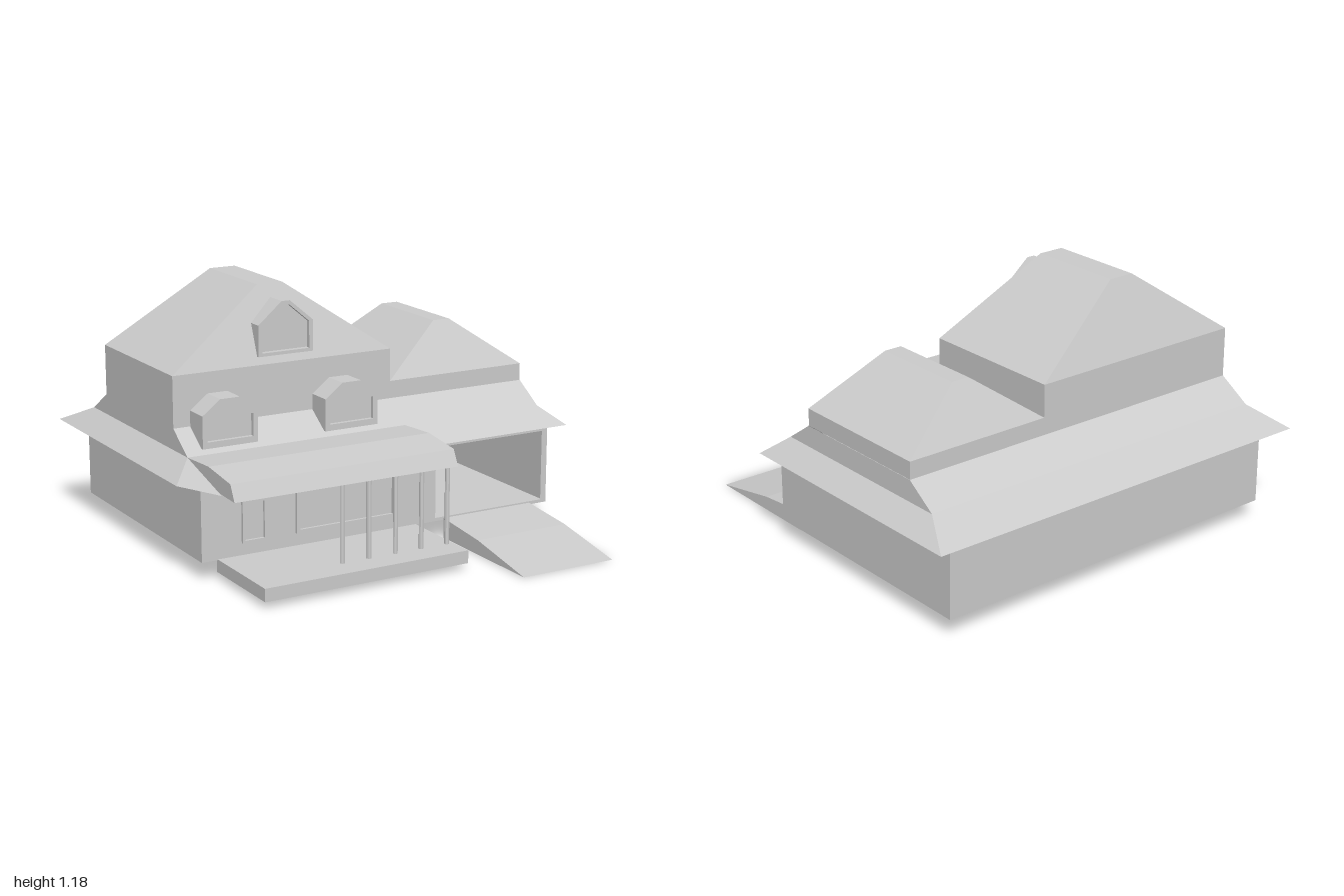
import * as THREE from 'three';

const mat = new THREE.MeshStandardMaterial({ color: 0xcccccc, flatShading: true, side: THREE.DoubleSide });

export function createModel() {
  const house = new THREE.Group();
  house.name = 'house';

  const add = (name, geo, parent = house) => {
    const mesh = new THREE.Mesh(geo, mat);
    mesh.name = name;
    parent.add(mesh);
    return mesh;
  };

  // Thin shell from flat polygons, each a list of [x, y, z] corners
  const shell = (name, polys) => {
    const pos = [];
    for (const p of polys)
      for (let i = 1; i < p.length - 1; i++) pos.push(...p[0], ...p[i], ...p[i + 1]);
    const geo = new THREE.BufferGeometry();
    geo.setAttribute('position', new THREE.Float32BufferAttribute(pos, 3));
    geo.computeVertexNormals();
    return add(name, geo);
  };

  // Rectangular loop at one height, and the faces joining two loops
  const ring = (x0, x1, z0, z1, y) => [[x0, y, z1], [x1, y, z1], [x1, y, z0], [x0, y, z0]];
  const join = (a, b) => a.map((p, i) => [p, a[(i + 1) % 4], b[(i + 1) % 4], b[i]]);

  const shapeOf = (pts) => new THREE.Shape(pts.map(([x, y]) => new THREE.Vector2(x, y)));
  const rect = (x0, x1, y0, y1) => [[x0, y0], [x1, y0], [x1, y1], [x0, y1]];
  const extrude = (pts, z0, z1, hole) => {
    const s = shapeOf(pts);
    if (hole) s.holes.push(shapeOf(hole));
    return new THREE.ExtrudeGeometry(s, { depth: z1 - z0, bevelEnabled: false }).translate(0, 0, z0);
  };
  // Profile of [z, y] points extruded along x
  const extrudeX = (pts, x0, x1) =>
    new THREE.ExtrudeGeometry(shapeOf(pts), { depth: x1 - x0, bevelEnabled: false })
      .rotateY(-Math.PI / 2).translate(x1, 0, 0);

  // Ground floor walls, open underneath, with the garage opening in front
  const W = 0.89, FRONT = 0.32, BACK = -0.88, Y0 = 0.085, EAVE = 0.44;
  const low = ring(-W, W, BACK, FRONT, Y0), top = ring(-W, W, BACK, FRONT, EAVE);
  shell('walls', join(low, top).slice(1));
  const front = shapeOf(rect(-W, W, Y0, EAVE));
  front.holes.push(shapeOf(rect(0.28, 0.86, 0.1, 0.43)));
  add('frontWall', new THREE.ShapeGeometry(front).translate(0, 0, FRONT));

  // Garage interior: floor, ceiling and slanted inner walls
  const plan = [[W, FRONT], [0.28, FRONT], [0.46, -0.36], [W, BACK]];
  const level = (y) => plan.map(([x, z]) => [x, y, z]);
  shell('garage', [level(Y0 + 0.003), level(0.43),
    ...join(level(Y0), level(0.43)).slice(1, 3)]);

  // Flared lower roof with flat soffit
  const eave = ring(-1, 1, -0.965, FRONT, EAVE);
  const upper = ring(-0.9, 0.9, -0.78, 0.22, 0.525);
  shell('lowerRoof', join(eave, upper));
  shell('soffit', join(eave, top).slice(1));
  shell('roofFlap', [[[-1, EAVE, FRONT], [-0.9, EAVE, 0.54], [-0.9, 0.525, 0.22]]]);

  // Steeper roof band and its gable ends
  const band = ring(-0.9, 0.895, -0.63, 0.085, 0.62);
  shell('roofBand', join(upper, band));

  // Upper storeys with hipped roofs
  const storey = (name, x0, x1, yTop, r0, r1, yRidge) => {
    const base = ring(x0, x1, -0.63, 0.085, 0.62);
    const eaves = ring(x0, x1, -0.63, 0.085, yTop);
    const ridge = ring(r0, r1, -0.505, -0.043, yRidge);
    shell(name + 'Walls', join(base, eaves));
    shell(name + 'Roof', [...join(eaves, ridge), ridge]);
  };
  storey('mainStorey', -0.9, 0.18, 0.85, -0.425, -0.3, 1.18);
  storey('sideStorey', 0.18, 0.893, 0.7, 0.49, 0.575, 0.925);

  // Dormers: solid body with a framed, recessed window
  const dormer = (name, outline, hole, zBack, zFront) => {
    const g = new THREE.Group();
    g.name = name;
    house.add(g);
    add('dormerBody', extrude(outline, zBack, zFront - 0.02), g);
    add('dormerFrame', extrude(outline, zFront - 0.02, zFront, hole), g);
  };
  for (const x of [-0.688, -0.09]) {
    const outline = [[-0.132, 0.545], [0.132, 0.545], [0.132, 0.69], [0.047, 0.755], [-0.047, 0.755], [-0.132, 0.69]];
    dormer('lowerDormer', outline.map(([a, y]) => [a + x, y]),
      rect(x - 0.11, x + 0.11, 0.573, 0.675), 0.03, 0.205);
  }
  const gable = [[-0.135, 0.885], [0.135, 0.885], [0.135, 1.025], [0.02, 1.122], [-0.02, 1.122], [-0.135, 1.025]];
  dormer('atticDormer', gable.map(([a, y]) => [a - 0.352, y]),
    gable.map(([a, y]) => [a * 0.86 - 0.352, 0.99 + (y - 0.99) * 0.86]), -0.03, 0.085);

  // Porch roof, slab and columns
  add('porchRoof', extrudeX([[0.22, 0.525], [0.42, 0.535], [0.62, 0.51], [0.655, 0.44],
    [0.42, 0.45], [0.32, 0.44]], -0.9, 0.178));
  add('porchFloor', extrudeX([[0.31, 0.03], [0.75, 0.03], [0.75, 0.088], [0.31, 0.088]], -0.815, 0.175));
  for (let i = 0; i < 5; i++)
    add('porchColumn', new THREE.CylinderGeometry(0.011, 0.011, 0.4, 8)
      .translate(-0.38 + i * 0.131, 0.255, 0.625));

  // Driveway ramp
  add('ramp', extrudeX([[0.32, 0], [0.955, 0], [0.6, 0.066], [0.32, 0.093]], 0.325, 0.797));

  // Ground floor windows with raised frames
  const frame = (name, x0, x1, y0, y1, t) =>
    add(name, extrude(rect(x0, x1, y0, y1), FRONT, FRONT + 0.013, rect(x0 + t, x1 - t, y0 + t, y1 - t)));
  frame('wideWindow', -0.438, 0.065, 0.145, 0.375, 0.016);
  frame('smallWindow', -0.7, -0.583, 0.142, 0.332, 0.012);

  return house;
}
